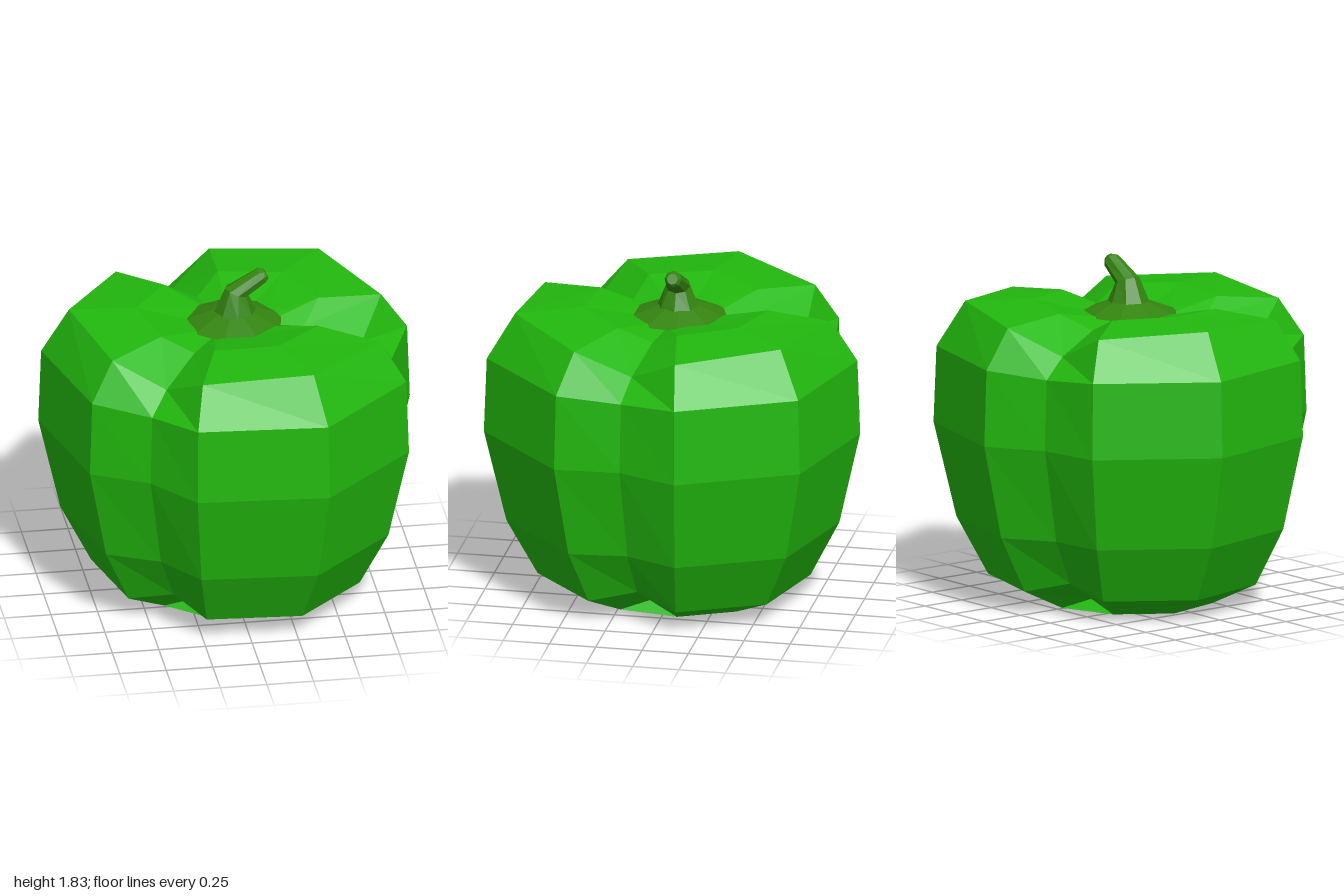
import * as THREE from 'three';

// Flat-shaded skin over a stack of closed rings, ordered from bottom to top
function loft(rings) {
  const pos = [];
  const tri = (a, b, c) => {
    const n = b.clone().sub(a).cross(c.clone().sub(a));
    if (n.length() > 1e-7) for (const p of [a, b, c]) pos.push(p.x, p.y, p.z);
  };
  for (let k = 0; k < rings.length - 1; k++) {
    const lo = rings[k], hi = rings[k + 1], n = lo.length;
    for (let i = 0; i < n; i++) {
      const j = (i + 1) % n;
      tri(lo[i], hi[i], hi[j]);
      tri(lo[i], hi[j], lo[j]);
    }
  }
  const geo = new THREE.BufferGeometry();
  geo.setAttribute('position', new THREE.Float32BufferAttribute(pos, 3));
  geo.computeVertexNormals();
  return geo;
}

// Round ring, tilted about z
function roundRing(cx, cy, r, sides, tilt = 0) {
  return Array.from({ length: sides }, (_, i) => {
    const t = (i / sides) * Math.PI * 2, u = r * Math.sin(t);
    return new THREE.Vector3(cx + u * Math.cos(tilt), cy - u * Math.sin(tilt), -r * Math.cos(t));
  });
}

// Widest outline: three lobes of three ridges, each followed by a groove
const OUTLINE = [
  [0.02, -0.98], [0.69, -0.79], [0.99, -0.17], [0.86, 0.15],
  [0.88, 0.5], [0.38, 0.98], [-0.32, 0.93], [-0.53, 0.66],
  [-0.83, 0.5], [-1.0, -0.18], [-0.61, -0.75], [-0.27, -0.8],
];

// Levels: scale and height of lobe sides, lobe middles and grooves
const LEVELS = [
  { s: 0.47, side: 0, mid: 0, gs: 0.45, groove: 0.06 },
  { s: 0.725, side: 0.12, mid: 0.12, gs: 0.71, groove: 0.18 },
  { s: 0.885, side: 0.43, mid: 0.43, gs: 0.87, groove: 0.43 },
  { s: 1, side: 0.94, mid: 0.94, gs: 1, groove: 0.94 },
  { s: 0.985, side: 1.35, mid: 1.35, gs: 0.98, groove: 1.32 },
  { s: 0.84, side: 1.56, mid: 1.595, gs: 0.8, groove: 1.42 },
  { s: 0.49, side: 1.595, mid: 1.61, gs: 0.45, groove: 1.51 },
  { s: 0.2, side: 1.54, mid: 1.54, gs: 0.2, groove: 1.52 },
  { s: 0, side: 1.53, mid: 1.53, gs: 0, groove: 1.53 },
];

function bodyGeometry() {
  const rings = LEVELS.map((l) => OUTLINE.map(([x, z], i) => {
    const part = i % 4, s = part === 3 ? l.gs : l.s;
    return new THREE.Vector3(x * s, part === 3 ? l.groove : part === 1 ? l.mid : l.side, z * s);
  }));
  // Flat base runs straight across each groove
  const base = rings[0].map((p, i, r) =>
    i % 4 === 3 ? r[i - 1].clone().lerp(r[(i + 1) % r.length], 0.5) : p.clone());
  const centre = base.map(() => new THREE.Vector3(0, 0, 0));
  return loft([centre, base, ...rings]);
}

export function createModel() {
  const group = new THREE.Group();
  const skin = new THREE.MeshStandardMaterial({ color: 0x22b80e });
  const stalk = new THREE.MeshStandardMaterial({ color: 0x348410 });
  skin.name = 'pepper green';
  stalk.name = 'stem olive';

  const add = (name, geo, mat) => {
    const mesh = new THREE.Mesh(geo, mat);
    mesh.name = name;
    group.add(mesh);
  };

  add('body', bodyGeometry(), skin);

  // Low nine-sided cap under the stem
  add('calyx', loft([
    roundRing(0.02, 1.51, 0, 9),
    roundRing(0.02, 1.54, 0.265, 9),
    roundRing(0.02, 1.6, 0.11, 9),
    roundRing(0.02, 1.61, 0, 9),
  ]), stalk);

  // Bent, tapering stem with a bevelled tip
  add('stem', loft([
    roundRing(0.025, 1.59, 0.115, 8),
    roundRing(0.035, 1.71, 0.066, 8, 0.35),
    roundRing(0.17, 1.795, 0.046, 8, 0.95),
    roundRing(0.192, 1.802, 0.03, 8, 1.1),
    roundRing(0.192, 1.802, 0, 8),
  ]), stalk);

  return group;
}
